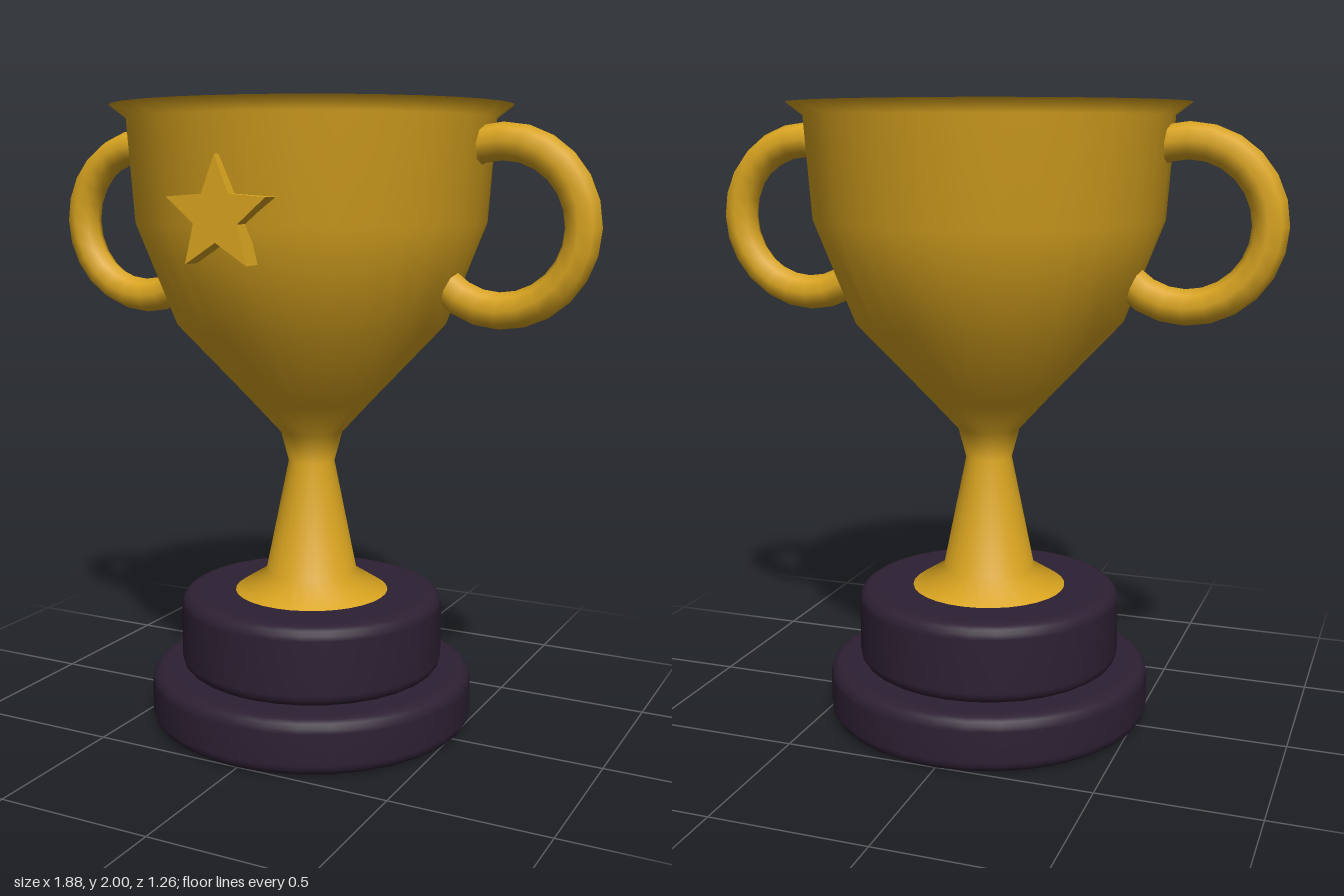
import * as THREE from 'three';

const SEGMENTS = 32;
const points = (list) => list.map(([x, y]) => new THREE.Vector2(x, y));

// Disc with rounded rims, turned on the y axis
function roundedDisc(radius, y0, y1, bevel) {
  const profile = [[0, y0], [radius - bevel - 0.01, y0]];
  for (const [cy, start] of [[y0 + bevel, -Math.PI / 2], [y1 - bevel, 0]]) {
    for (let i = 0; i <= 4; i++) {
      const a = start + (i / 4) * Math.PI / 2;
      profile.push([radius - bevel + bevel * Math.cos(a), cy + bevel * Math.sin(a)]);
    }
  }
  profile.push([radius - bevel - 0.01, y1], [0, y1]);
  return new THREE.LatheGeometry(points(profile), SEGMENTS);
}

function starShape(outer, inner) {
  const corners = [];
  for (let i = 0; i < 10; i++) {
    const a = Math.PI / 2 + (i * Math.PI) / 5;
    const r = i % 2 ? inner : outer;
    corners.push([r * Math.cos(a), r * Math.sin(a)]);
  }
  return new THREE.Shape(points(corners));
}

export function createModel() {
  const model = new THREE.Group();
  const gold = new THREE.MeshStandardMaterial({ name: 'gold', color: 0xdaa520 });
  const darkBase = new THREE.MeshStandardMaterial({ name: 'dark base', color: 0x2d2033 });

  const add = (name, geometry, material) => {
    const mesh = new THREE.Mesh(geometry, material);
    mesh.name = name;
    model.add(mesh);
    return mesh;
  };

  // Two-step plinth
  add('lowerBase', roundedDisc(0.53, 0, 0.18, 0.04), darkBase);
  add('upperBase', roundedDisc(0.43, 0.18, 0.435, 0.04), darkBase);

  // Foot, stem and outer wall of the bowl
  add('cupOutside', new THREE.LatheGeometry(points([
    [0.26, 0.43], [0.15, 0.5], [0.075, 0.87], [0.1, 0.965], [0.2, 1.075],
    [0.43, 1.32], [0.555, 1.64], [0.578, 1.96], [0.63, 2],
  ]), SEGMENTS), gold);

  // Flared lip and hollow of the bowl
  add('cupInside', new THREE.LatheGeometry(points([
    [0.63, 2], [0.585, 1.975], [0.53, 1.92], [0.51, 1.65], [0.395, 1.36], [0.18, 1.13], [0, 1.08],
  ]), SEGMENTS), gold);

  // Ring handles passing through the wall
  for (const [name, side] of [['leftHandle', 1], ['rightHandle', -1]]) {
    add(name, new THREE.TorusGeometry(0.25, 0.056, 8, 24), gold).position.set(0.632 * side, 1.635, 0);
  }

  // Raised star on the front
  const star = new THREE.ExtrudeGeometry(starShape(0.17, 0.075), { depth: 0.065, bevelEnabled: false });
  add('star', star, gold).position.set(0, 1.674, 0.53);

  return model;
}
